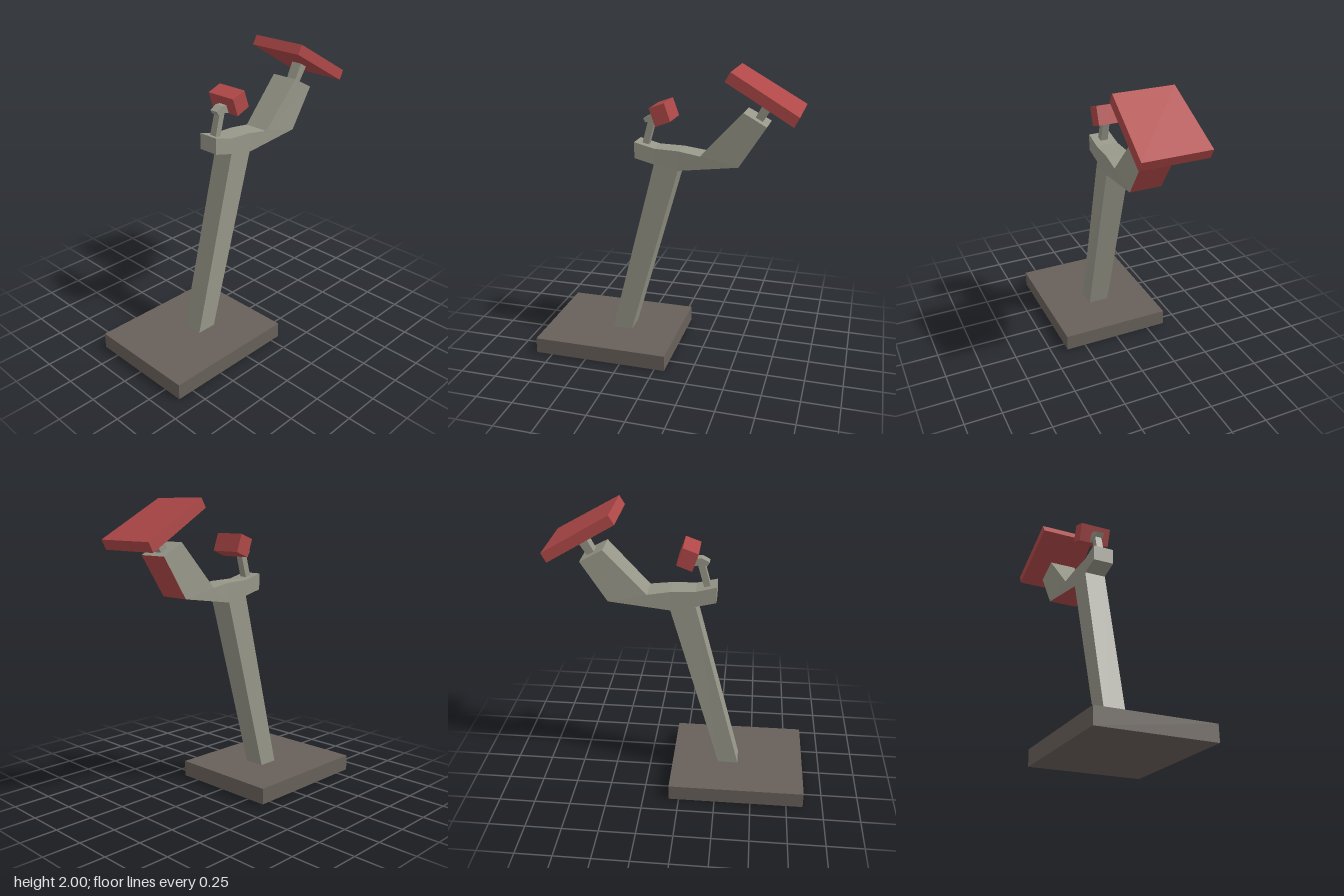
import * as THREE from 'three';

const mat = (name, color) => {
  const m = new THREE.MeshStandardMaterial({ color });
  m.name = name;
  return m;
};

// Loft through four-cornered sections, each [topZ, topY, bottomZ, bottomY, topHalfWidth, bottomHalfWidth].
// Sections run front to back (or top to bottom, with the back edge as "top").
// Underside panels from section altFrom onwards use the second material.
function loft(name, sections, materials, altFrom = Infinity) {
  const rings = sections.map(([tz, ty, bz, by, tw, bw = tw]) => [
    [-tw, ty, tz], [tw, ty, tz], [bw, by, bz], [-bw, by, bz],
  ]);
  const pos = [], alt = [];
  const quad = (a, b, c, d, out = pos) => out.push(...a, ...b, ...c, ...a, ...c, ...d);
  const first = rings[0], last = rings[rings.length - 1];
  quad(first[0], first[3], first[2], first[1]);
  quad(...last);
  for (let s = 0; s < rings.length - 1; s++) {
    const a = rings[s], b = rings[s + 1];
    for (let i = 0; i < 4; i++) {
      const j = (i + 1) % 4;
      quad(a[i], a[j], b[j], b[i], i === 2 && s >= altFrom ? alt : pos);
    }
  }
  const geo = new THREE.BufferGeometry();
  geo.setAttribute('position', new THREE.Float32BufferAttribute([...pos, ...alt], 3));
  geo.computeVertexNormals();
  if (alt.length) {
    geo.addGroup(0, pos.length / 3, 0);
    geo.addGroup(pos.length / 3, alt.length / 3, 1);
  }
  const mesh = new THREE.Mesh(geo, materials);
  mesh.name = name;
  return mesh;
}

export function createModel() {
  const grey = mat('warm grey', 0x979789);
  const red = mat('red', 0xb04848);
  const dark = mat('dark base', 0x68605a);
  const group = new THREE.Group();
  group.name = 'leaningStand';

  // Floor slab
  const base = new THREE.Mesh(new THREE.BoxGeometry(0.77, 0.11, 0.935), dark);
  base.name = 'base';
  base.position.set(0, 0.055, 0.3975);
  group.add(base);

  group.add(
    // Leaning post
    loft('post', [
      [-0.08, 1.325, 0.085, 1.355, 0.08, 0.075],
      [0.26, 0.11, 0.4, 0.11, 0.073],
    ], grey),
    // Cranked arm, widening to the back, with a red underside
    loft('arm', [
      [0.22, 1.497, 0.22, 1.388, 0.073],
      [0.085, 1.462, 0.085, 1.355, 0.075],
      [-0.08, 1.457, -0.08, 1.325, 0.08],
      [-0.23, 1.435, -0.485, 1.385, 0.09, 0.106],
      [-0.505, 1.735, -0.655, 1.655, 0.097, 0.107],
    ], [grey, red], 2),
    // Rear pad and its neck
    loft('padNeck', [
      [-0.685, 1.78, -0.63, 1.812, 0.04],
      [-0.6, 1.645, -0.555, 1.665, 0.036],
    ], grey),
    loft('rearPad', [
      [-0.435, 2.0, -0.4, 1.94, 0.2],
      [-0.865, 1.752, -0.833, 1.69, 0.224],
    ], red),
    // Front block on a thin stem with a bent bracket
    loft('blockStem', [
      [0.095, 1.625, 0.138, 1.635, 0.024],
      [0.143, 1.45, 0.184, 1.46, 0.026],
    ], grey),
    loft('blockBracket', [
      [0.17, 1.65, 0.154, 1.623, 0.03],
      [0.12, 1.677, 0.12, 1.632, 0.03],
      [0.08, 1.675, 0.062, 1.618, 0.03],
    ], grey),
    loft('frontBlock', [
      [0.106, 1.735, 0.064, 1.616, 0.11],
      [0.005, 1.772, -0.037, 1.655, 0.11],
    ], red),
  );
  return group;
}
